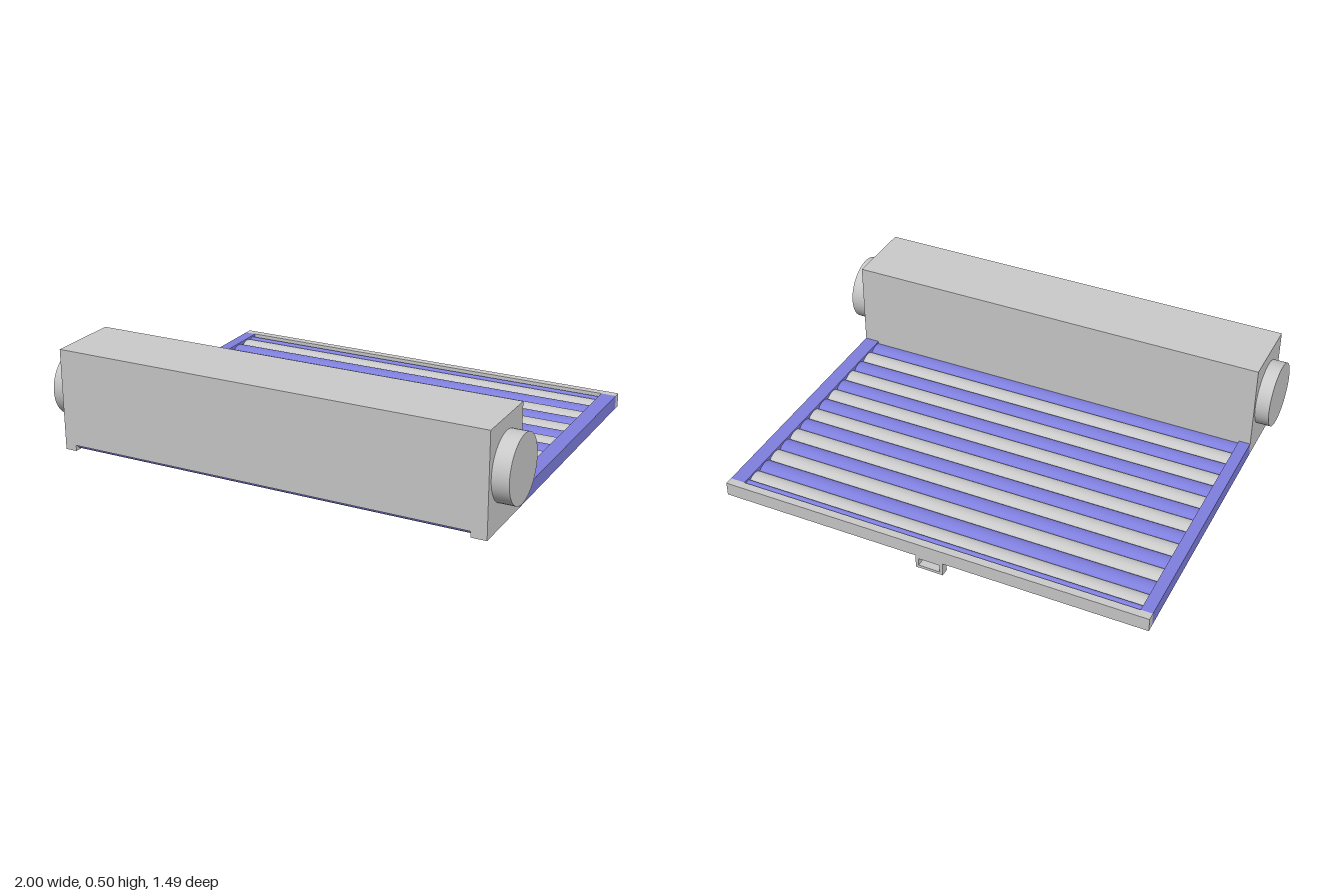
import * as THREE from 'three';

const GREY = new THREE.MeshStandardMaterial({ color: 0xcccccc });
const BLUE = new THREE.MeshStandardMaterial({ color: 0x8080e0 });

export function createModel() {
  const model = new THREE.Group();
  const add = (name, geometry, material, parent = model) => {
    const mesh = new THREE.Mesh(geometry, material);
    mesh.name = name;
    parent.add(mesh);
    return mesh;
  };
  // Box given by its limits on each axis
  const block = (name, [x0, x1], [y0, y1], [z0, z1], material, parent) => {
    const mesh = add(name, new THREE.BoxGeometry(x1 - x0, y1 - y0, z1 - z0), material, parent);
    mesh.position.set((x0 + x1) / 2, (y0 + y1) / 2, (z0 + z1) / 2);
    return mesh;
  };

  const left = 0.93, right = -0.94, wall = 0.012;
  const railSpans = { left: [0.865, left], right: [right, -0.89] };

  // Roller housing: a hollow box, open underneath
  const housing = new THREE.Group();
  housing.name = 'housing';
  model.add(housing);
  const inner = [right + wall, left - wall];
  block('housingTop', [right, left], [0.495 - wall, 0.495], [0.43, 0.745], GREY, housing);
  block('housingFront', inner, [0.085, 0.495 - wall], [0.745 - wall, 0.745], GREY, housing);
  block('housingBack', inner, [0.1, 0.495 - wall], [0.43, 0.43 + wall], GREY, housing);
  block('leftEndPlate', [left - wall, left], [0.06, 0.495 - wall], [0.43, 0.745], GREY, housing);
  block('rightEndPlate', [right, right + wall], [0.06, 0.495 - wall], [0.43, 0.745], GREY, housing);
  block('leftFoot', [0.865, left - wall], [0.06, 0.1], [0.43, 0.745], GREY, housing);
  block('rightFoot', [right + wall, -0.89], [0.06, 0.1], [0.43, 0.745], GREY, housing);

  // Roller drum, its ends standing out of the housing
  const drum = add('rollerDrum', new THREE.CylinderGeometry(0.14, 0.14, 2, 48), GREY);
  drum.rotation.z = Math.PI / 2;
  drum.position.set(0, 0.297, 0.585);

  // Side rails that hold the slats
  for (const side of ['left', 'right']) {
    block(side + 'Rail', railSpans[side], [0.06, 0.12], [-0.71, 0.43], BLUE);
  }

  // Rounded slats in alternating colours, running on under the housing
  const slats = new THREE.Group();
  slats.name = 'slats';
  model.add(slats);
  const addSlat = (z, halfDepth, material) => {
    const geometry = new THREE.CylinderGeometry(1, 1, 1.77, 24);
    geometry.rotateZ(Math.PI / 2);
    geometry.scale(1, 0.025, halfDepth);
    add('slat', geometry, material, slats).position.set(-0.0125, 0.088, z);
  };
  addSlat(-0.685, 0.02, BLUE);
  for (let i = 0; i < 17; i++) addSlat(-0.635 + 0.08 * i, 0.042, i % 2 ? BLUE : GREY);
  addSlat(0.71, 0.025, BLUE);

  // End bar at the free edge
  block('endBar', [right, left], [0.06, 0.12], [-0.745, -0.71], GREY);

  // Pull handle: a rectangular loop below the end bar
  const loop = new THREE.Shape([[-0.07, 0], [0.05, 0], [0.05, 0.06], [-0.07, 0.06]]
    .map(([x, y]) => new THREE.Vector2(x, y)));
  loop.holes.push(new THREE.Path([[-0.057, 0.013], [-0.057, 0.047], [0.037, 0.047], [0.037, 0.013]]
    .map(([x, y]) => new THREE.Vector2(x, y))));
  const handle = add('pullHandle', new THREE.ExtrudeGeometry(loop, { depth: 0.035, bevelEnabled: false }), GREY);
  handle.position.z = -0.745;

  return model;
}
